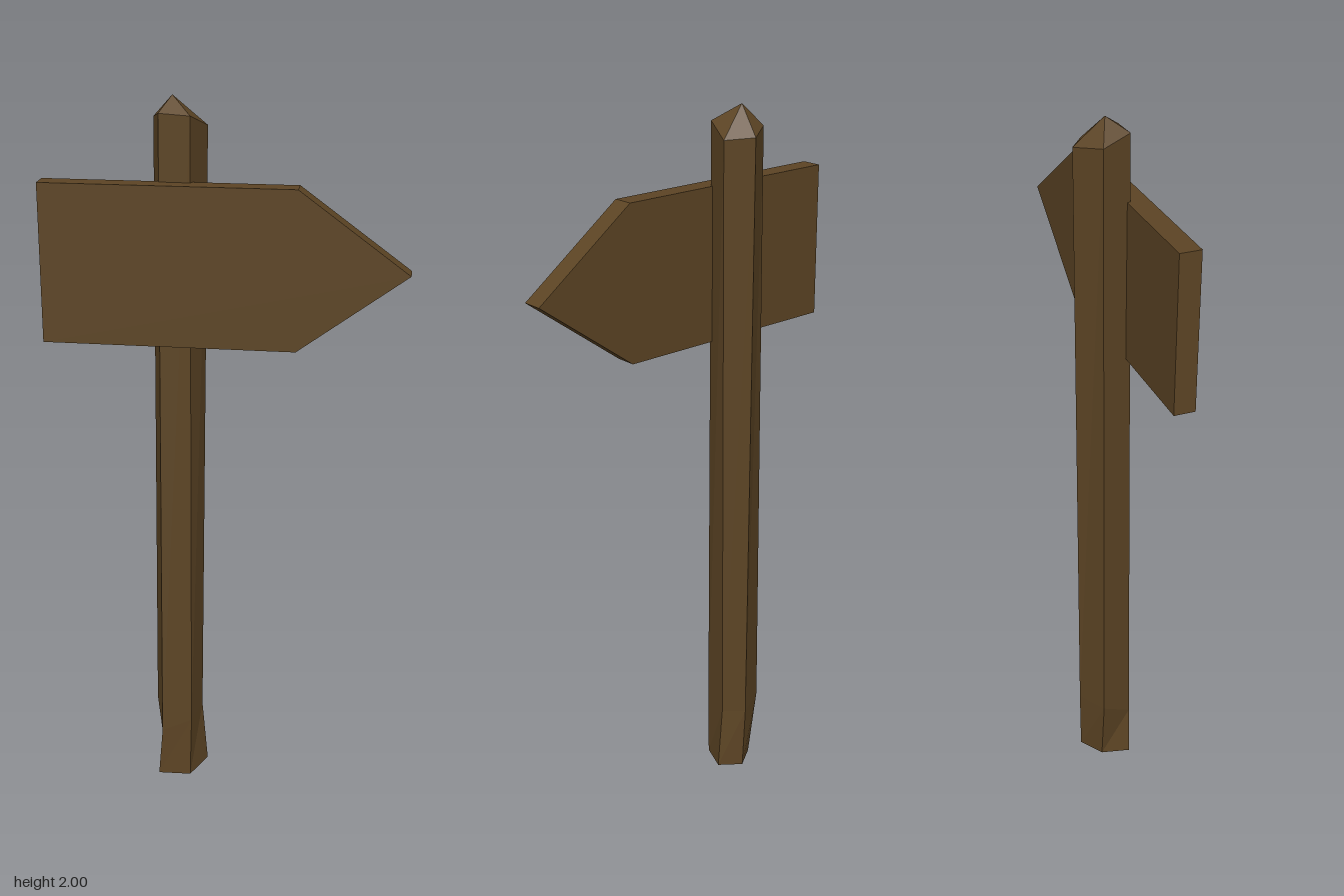
import * as THREE from 'three';

// Post cross-sections, bottom to top: five [x, y, z] corners each,
// in the order left, front left, front right, right, back
const RINGS = [
  [[-0.19, 0.01, -0.03], [-0.2, 0, 0.055], [-0.105, 0.005, 0.058], [-0.065, 0.012, -0.03], [-0.125, 0.01, -0.073]],
  [[-0.217, 0.21, -0.035], [-0.187, 0.15, 0.057], [-0.1, 0.19, 0.055], [-0.08, 0.2, -0.03], [-0.13, 0.2, -0.078]],
  [[-0.2, 1.94, -0.04], [-0.173, 1.96, 0.04], [-0.09, 1.955, 0.042], [-0.057, 1.92, -0.043], [-0.125, 1.925, -0.09]],
];
const APEX = [-0.145, 2, -0.015];
const BASE = [-0.135, 0.007, -0.005];

// Hewn five-sided post with a pointed top and closed foot
function postGeometry() {
  const pos = [];
  const tri = (a, b, c) => pos.push(...a, ...b, ...c);
  const top = RINGS[RINGS.length - 1];
  for (let i = 0; i < 5; i++) {
    const j = (i + 1) % 5;
    for (let r = 0; r < RINGS.length - 1; r++) {
      const lo = RINGS[r], hi = RINGS[r + 1];
      tri(lo[i], lo[j], hi[j]);
      tri(lo[i], hi[j], hi[i]);
    }
    tri(top[i], top[j], APEX);
    tri(RINGS[0][j], RINGS[0][i], BASE);
  }
  const g = new THREE.BufferGeometry();
  g.setAttribute('position', new THREE.Float32BufferAttribute(pos, 3));
  g.computeVertexNormals();
  return g;
}

export function createModel() {
  const wood = new THREE.MeshStandardMaterial({ color: 0x5c4424, flatShading: true });
  wood.name = 'brown wood';
  const model = new THREE.Group();
  model.name = 'signpost';

  const post = new THREE.Mesh(postGeometry(), wood);
  post.name = 'post';
  model.add(post);

  // Arrow-shaped board on the front of the post
  const outline = new THREE.Shape([
    [-0.487, 1.355], [0.193, 1.355], [0.487, 1.57], [0.193, 1.785], [-0.487, 1.785],
  ].map(([x, y]) => new THREE.Vector2(x, y)));
  const board = new THREE.Mesh(
    new THREE.ExtrudeGeometry(outline, { depth: 0.058, bevelEnabled: false }), wood);
  board.position.z = 0.032;
  board.name = 'arrowBoard';
  model.add(board);

  return model;
}
